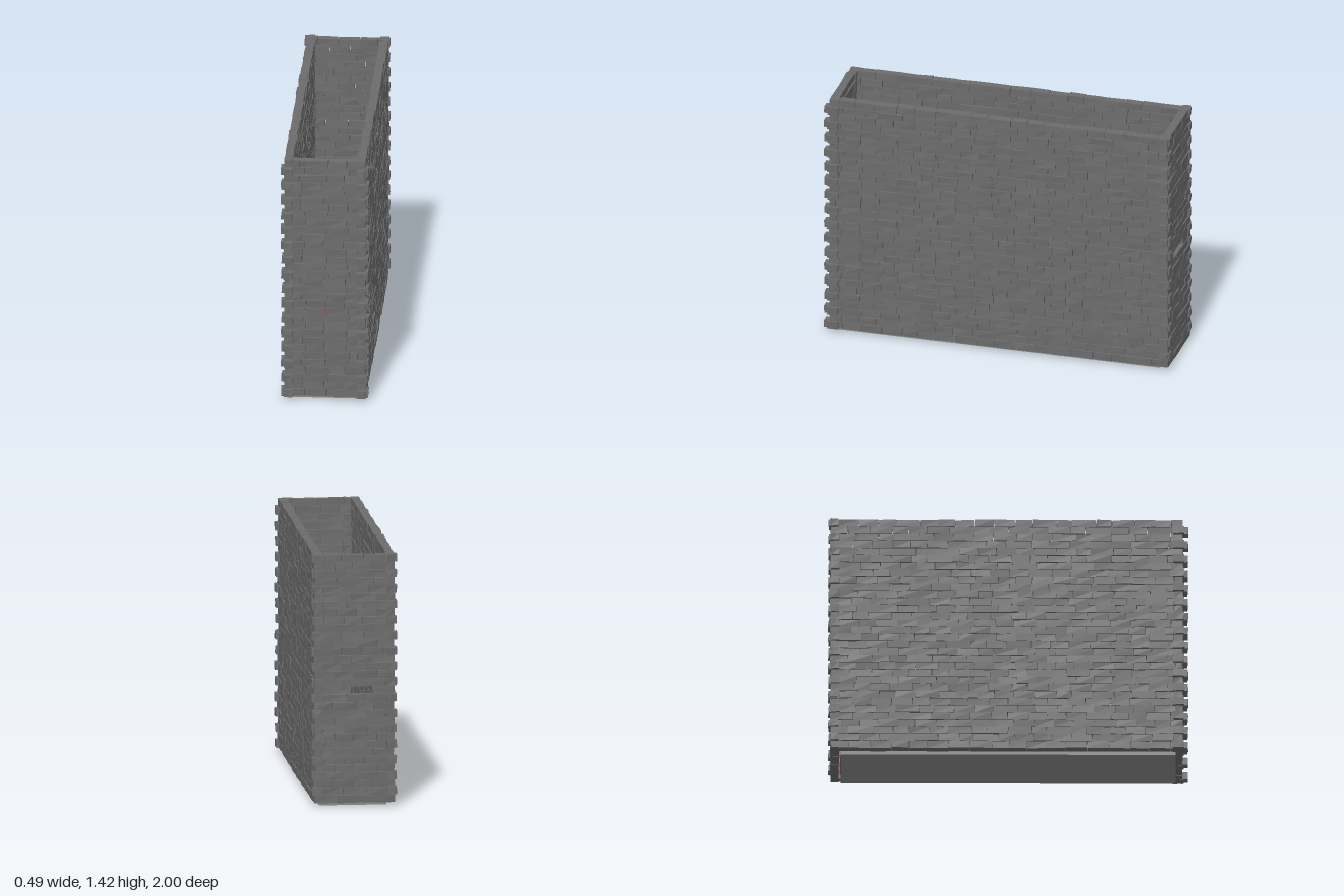
import * as THREE from 'three';
import { mergeGeometries } from 'three/addons/utils/BufferGeometryUtils.js';

// Seeded random, symmetric around zero
let seed = 7;
const rnd = (a) => {
  seed = (seed * 16807) % 2147483647;
  return (seed / 2147483647 * 2 - 1) * a;
};

const material = (color) => new THREE.MeshStandardMaterial({ color, flatShading: true });
const STONE = material(0x6c6c6c);
const PAVING = material(0x8a8a8a);
const CARPET = material(0xa52a2a);
const CUSHION = material(0xdd3030);
const WOOD = material(0x8a6232);
const DARK_WOOD = material(0x5e4018);

const COURSES = 32;
const COURSE_H = 0.0437;
const BASE_Y = 0.02;
const THICK = 0.046;

// Box between two corners, each of its eight corners nudged a little
function roughBrick(x0, x1, y0, y1, z0, z1) {
  const geo = new THREE.BoxGeometry(x1 - x0, y1 - y0, z1 - z0);
  const nudges = Array.from({ length: 8 }, () => [rnd(0.0025), rnd(0.002), rnd(0.0025)]);
  const p = geo.attributes.position;
  for (let i = 0; i < p.count; i++) {
    const n = nudges[(p.getX(i) > 0 ? 1 : 0) + (p.getY(i) > 0 ? 2 : 0) + (p.getZ(i) > 0 ? 4 : 0)];
    p.setXYZ(i, p.getX(i) + n[0], p.getY(i) + n[1], p.getZ(i) + n[2]);
  }
  geo.translate((x0 + x1) / 2, (y0 + y1) / 2, (z0 + z1) / 2);
  return geo;
}

// Joint positions along one course, staggered on every other course
function joints(lo, hi, length, odd) {
  const n = Math.round((hi - lo) / length);
  const step = (hi - lo) / n;
  const list = [lo];
  for (let i = odd ? 0.5 : 1; i < n - 0.2; i++) list.push(lo + i * step + rnd(step * 0.16));
  list.push(hi);
  return list;
}

// Wall of courses. span(row) gives its ends, across its centre line.
function brickWall(name, axis, across, length, span, isHole = () => false) {
  const bricks = [];
  for (let row = 0; row < COURSES; row++) {
    const y = BASE_Y + row * COURSE_H;
    const [lo, hi] = span(row);
    const cuts = joints(lo, hi, length, row % 2);
    for (let i = 0; i < cuts.length - 1; i++) {
      const a = cuts[i] + 0.001, b = cuts[i + 1] - 0.001;
      if (isHole(row, (a + b) / 2)) continue;
      const c = across + rnd(0.003);
      const y0 = y + 0.001 + rnd(0.001), y1 = y + COURSE_H - 0.001 + rnd(0.001);
      const c0 = c - THICK / 2, c1 = c + THICK / 2;
      bricks.push(axis === 'x' ? roughBrick(a, b, y0, y1, c0, c1) : roughBrick(c0, c1, y0, y1, a, b));
    }
  }
  const mesh = new THREE.Mesh(mergeGeometries(bricks), STONE);
  mesh.name = name;
  return mesh;
}

function box(name, mat, w, h, d, x, y, z) {
  const mesh = new THREE.Mesh(new THREE.BoxGeometry(w, h, d), mat);
  mesh.position.set(x, y, z);
  mesh.name = name;
  return mesh;
}

// Throne at the front end of the hall, looking down the carpet
function createThrone() {
  const throne = new THREE.Group();
  throne.name = 'throne';

  // Seat block and step with a pointed leading edge
  const plan = new THREE.Shape();
  [[-0.075, 0.08], [0.075, 0.08], [0.075, -0.055], [0, -0.085], [-0.075, -0.055]]
    .forEach(([x, z], i) => (i ? plan.lineTo(x, -z) : plan.moveTo(x, -z)));
  const base = new THREE.Mesh(new THREE.ExtrudeGeometry(plan, { depth: 0.06, bevelEnabled: false }), WOOD);
  base.rotation.x = -Math.PI / 2;
  base.name = 'throneSeat';
  throne.add(base);
  throne.add(box('seatCushion', CUSHION, 0.105, 0.02, 0.1, 0, 0.07, 0));

  // Arms with posts
  for (const s of [-1, 1]) {
    throne.add(box('armRest', WOOD, 0.018, 0.015, 0.13, s * 0.064, 0.125, 0.005));
    throne.add(box('armPost', DARK_WOOD, 0.014, 0.07, 0.014, s * 0.064, 0.09, -0.045));
    throne.add(box('backPost', DARK_WOOD, 0.018, 0.24, 0.025, s * 0.07, 0.12, 0.068));
  }

  // Gabled backrest
  const outline = new THREE.Shape();
  [[-0.07, 0.05], [0.07, 0.05], [0.07, 0.22], [0, 0.26], [-0.07, 0.22]]
    .forEach(([x, y], i) => (i ? outline.lineTo(x, y) : outline.moveTo(x, y)));
  const back = new THREE.Mesh(new THREE.ExtrudeGeometry(outline, { depth: 0.022, bevelEnabled: false }), DARK_WOOD);
  back.position.z = 0.06;
  back.name = 'throneBack';
  throne.add(back);
  throne.add(box('backCushion', CUSHION, 0.09, 0.12, 0.008, 0, 0.15, 0.056));

  throne.position.set(0.005, 0.024, 0.833);
  return throne;
}

export function createModel() {
  const hall = new THREE.Group();
  hall.name = 'brickHall';

  // Floor and carpet
  hall.add(box('floor', PAVING, 0.375, 0.02, 1.86, 0.005, 0.01, 0));
  hall.add(box('carpet', CARPET, 0.235, 0.004, 1.85, 0.008, 0.022, -0.008));

  // Long walls, their ends interlocking with the short walls
  const longSpan = (row) => (row % 2 ? [-0.997, 0.968] : [-0.985, 0.997]);
  hall.add(brickWall('leftWall', 'z', 0.203, 0.108, longSpan));
  hall.add(brickWall('rightWall', 'z', -0.203, 0.108, longSpan));

  // Short walls; the back one has a few bricks missing
  hall.add(brickWall('frontWall', 'x', 0.944, 0.118, (row) => (row % 2 ? [-0.182, 0.182] : [-0.24, 0.24])));
  hall.add(brickWall('backWall', 'x', -0.962, 0.118, (row) => (row % 2 ? [-0.24, 0.24] : [-0.222, 0.222]),
    (row, x) => row === 14 && x > -0.1 && x < 0.17));

  // Proud quoin stones on alternate front courses
  const quoins = [];
  for (let row = 0; row < COURSES; row += 2) {
    const y = BASE_Y + row * COURSE_H;
    for (const s of [-1, 1]) {
      const x = s * 0.211 + rnd(0.003);
      quoins.push(roughBrick(x - 0.031, x + 0.031, y, y + COURSE_H, 0.915, 0.975));
    }
  }
  const corner = new THREE.Mesh(mergeGeometries(quoins), STONE);
  corner.name = 'cornerStones';
  hall.add(corner);

  hall.add(createThrone());
  return hall;
}
